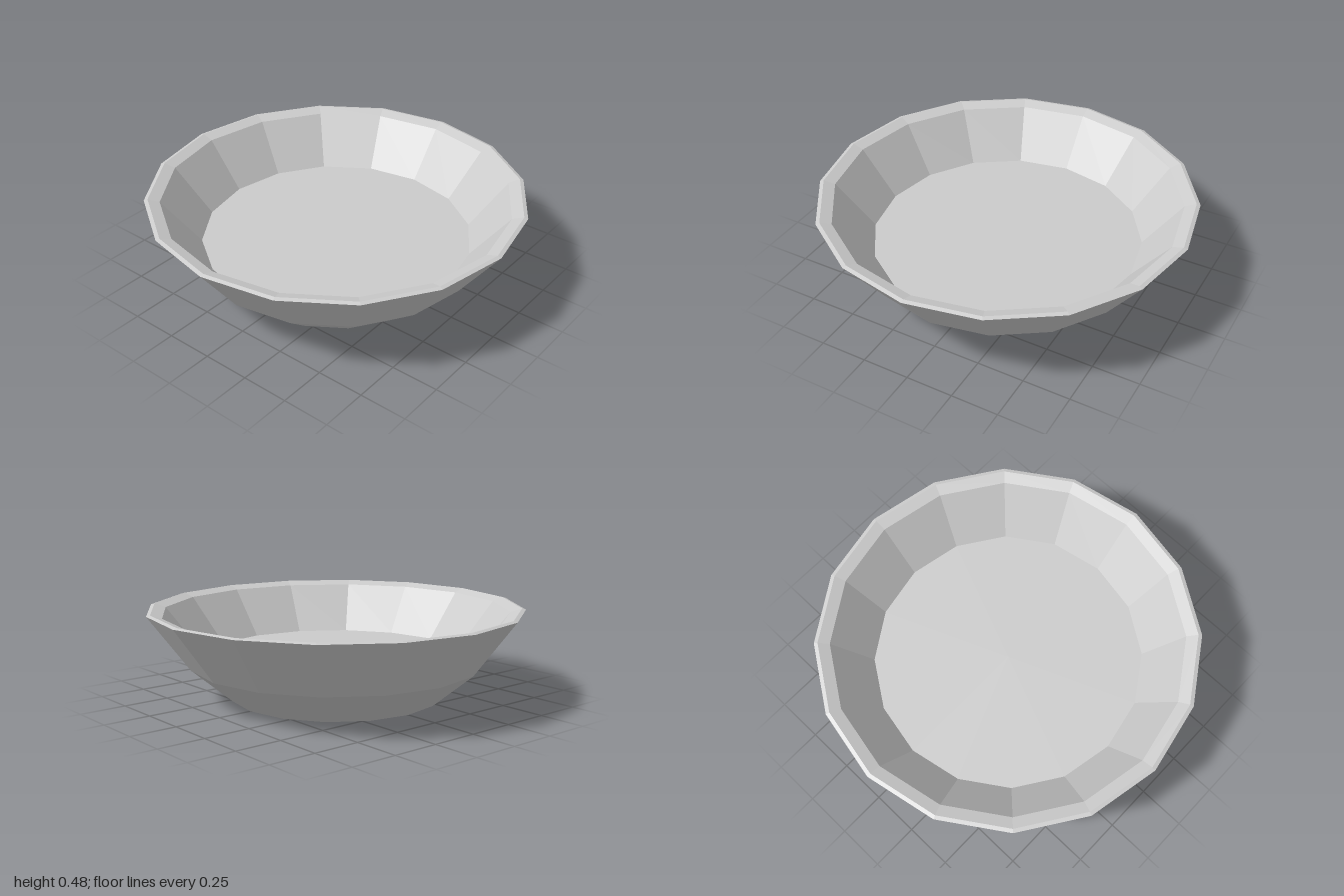
import * as THREE from 'three';

const SIDES = 16;

export function createModel() {
  const group = new THREE.Group();
  group.name = 'bowl';
  const material = new THREE.MeshStandardMaterial({ color: 0xcccccc, flatShading: true });

  const add = (name, geometry) => {
    const mesh = new THREE.Mesh(geometry, material);
    mesh.name = name;
    group.add(mesh);
    return mesh;
  };
  const ring = (name, profile) =>
    add(name, new THREE.LatheGeometry(profile.map(([r, y]) => new THREE.Vector2(r, y)), SIDES));
  const disc = (name, radius, y, up) => {
    const mesh = add(name, new THREE.CircleGeometry(radius, SIDES));
    mesh.rotation.x = up ? -Math.PI / 2 : Math.PI / 2;
    mesh.position.y = y;
  };

  // Faceted outside, running from the foot to the lip
  ring('outerWall', [[0.565, 0], [0.78, 0.18], [1, 0.474]]);
  // Thin bevelled lip, falling slightly inward
  ring('rim', [[1, 0.474], [0.98, 0.48], [0.92, 0.46]]);
  // Sloping inside down to the floor
  ring('innerWall', [[0.92, 0.46], [0.72, 0.21]]);

  // Flat inside floor and underside
  disc('floor', 0.72, 0.21, true);
  disc('base', 0.565, 0, false);

  return group;
}
